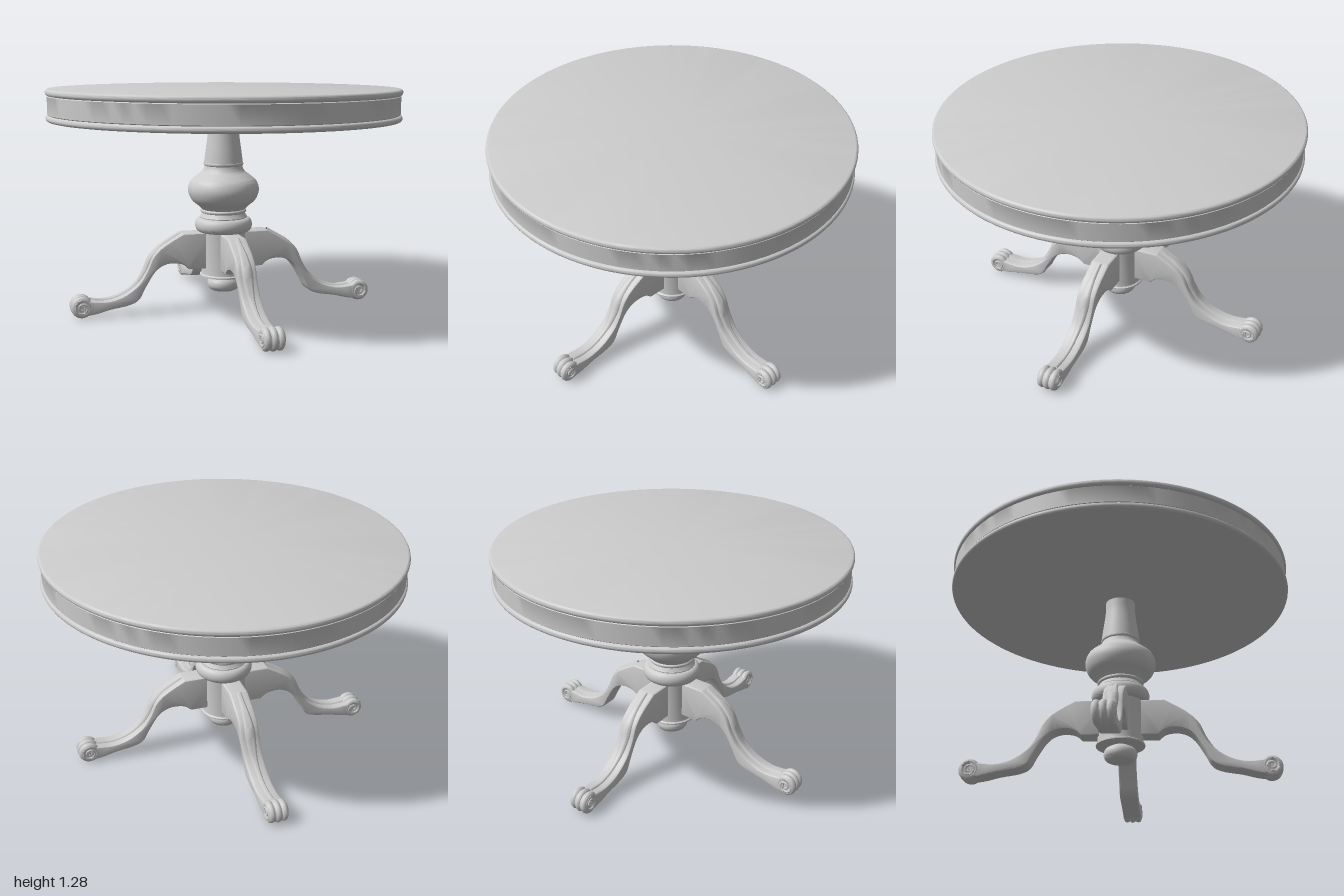
import * as THREE from 'three';
import { toCreasedNormals } from 'three/addons/utils/BufferGeometryUtils.js';

const material = new THREE.MeshStandardMaterial({ color: 0xcccccc, side: THREE.DoubleSide });
const vecs = (pts) => pts.map(([x, y]) => new THREE.Vector2(x, y));

function part(name, geometry, crease = 0.6) {
  const mesh = new THREE.Mesh(toCreasedNormals(geometry, crease), material);
  mesh.name = name;
  return mesh;
}

const lathe = (name, pts, segments) => part(name, new THREE.LatheGeometry(vecs(pts), segments));

// Half-round moulding profile from y0 up to y1, bulging from r to r + bulge
function bead(r, y0, y1, bulge, steps = 8) {
  const pts = [];
  for (let i = 0; i <= steps; i++) {
    const a = -Math.PI / 2 + (Math.PI * i) / steps;
    pts.push([r + bulge * Math.cos(a), (y0 + y1) / 2 + ((y1 - y0) / 2) * Math.sin(a)]);
  }
  return pts;
}

// Smooth profile through a few points
const smooth = (pts, n) => new THREE.SplineCurve(vecs(pts)).getPoints(n).map((p) => [p.x, p.y]);

// Leg outline in its radial plane: x = distance from the column, y = height
const LEG_TOP = [[0.255, 0.46], [0.30, 0.435], [0.375, 0.39], [0.43, 0.335], [0.47, 0.25],
  [0.52, 0.178], [0.605, 0.118], [0.70, 0.092], [0.79, 0.098], [0.84, 0.105]];
const LEG_BOTTOM = [[0.83, 0.012], [0.76, 0.022], [0.68, 0.042], [0.575, 0.06], [0.515, 0.09],
  [0.475, 0.16], [0.415, 0.25], [0.345, 0.288], [0.265, 0.283], [0.22, 0.25]];

function createLeg() {
  const leg = new THREE.Group();

  const shape = new THREE.Shape(vecs([[0.08, 0.25], [0.08, 0.46], ...smooth(LEG_TOP, 40), ...smooth(LEG_BOTTOM, 40)]));
  const body = new THREE.ExtrudeGeometry(shape, {
    depth: 0.086, bevelThickness: 0.012, bevelSize: 0.01, bevelOffset: -0.01, bevelSegments: 3,
  });
  body.translate(0, 0, -0.043);
  leg.add(part('legBody', body, 0.5));

  // Raised rib on the outer face, swelling at the knee
  const path = new THREE.CatmullRomCurve3(LEG_TOP.slice(0, 9).map(([x, y]) => new THREE.Vector3(x, y - 0.012, 0)));
  const rib = new THREE.TubeGeometry(path, 48, 0.022, 10);
  const p = rib.attributes.position;
  for (let i = 0; i < p.count; i++) {
    const t = Math.floor(i / 11) / 48;
    p.setZ(i, p.getZ(i) * (0.75 + 0.75 * Math.exp(-(((t - 0.35) / 0.2) ** 2))));
  }
  leg.add(part('legRib', rib, 1.2));

  // Scrolled foot: a rounded roll with three lobes and a coil on each side
  const roll = new THREE.CylinderGeometry(0.054, 0.054, 0.1, 28).rotateX(Math.PI / 2);
  roll.translate(0.842, 0.062, 0);
  leg.add(part('footRoll', roll));
  for (const [z, r] of [[-0.036, 0.042], [0, 0.044], [0.036, 0.042]]) {
    const lobe = new THREE.TorusGeometry(r, 0.02, 10, 28);
    lobe.translate(0.842, 0.063, z);
    leg.add(part('footLobe', lobe, 1.2));
  }
  for (const side of [-1, 1]) {
    const coil = [];
    for (let i = 0; i <= 30; i++) {
      const a = Math.PI / 2 - (i / 30) * Math.PI * 3;
      const r = 0.045 - 0.034 * (i / 30);
      coil.push(new THREE.Vector3(0.842 + r * Math.cos(a), 0.062 + r * Math.sin(a), side * 0.052));
    }
    leg.add(part('footScroll', new THREE.TubeGeometry(new THREE.CatmullRomCurve3(coil), 60, 0.007, 6), 1.2));
  }
  return leg;
}

export function createModel() {
  const table = new THREE.Group();
  table.name = 'pedestalTable';

  // Round top with a beaded apron
  const top = lathe('tableTop', [
    [0, 1.104], ...bead(0.985, 1.104, 1.138, 0.015),
    [0.99, 1.142], [0.99, 1.24],
    ...bead(0.985, 1.244, 1.28, 0.015), [0, 1.28],
  ], 96);
  top.scale.z = 0.982;
  table.add(top);

  // Turned column: neck, vase, collar and drum
  table.add(lathe('columnNeck', [
    ...smooth([[0.105, 0.838], [0.113, 0.845], [0.113, 0.856]], 6),
    ...smooth([[0.111, 0.858], [0.103, 0.92], [0.092, 1.0], [0.087, 1.05], [0.086, 1.11]], 16),
  ], 40));
  table.add(lathe('columnVase', smooth([
    [0.122, 0.585], [0.145, 0.61], [0.185, 0.645], [0.204, 0.70], [0.19, 0.75],
    [0.155, 0.782], [0.125, 0.805], [0.112, 0.825], [0.106, 0.845],
  ], 36), 40));
  table.add(lathe('columnCollar', [
    [0, 0.458], ...bead(0.135, 0.458, 0.54, 0.03, 12), [0.136, 0.545],
    [0.126, 0.56], ...bead(0.122, 0.568, 0.59, 0.01), [0.1, 0.592],
  ], 40));
  table.add(lathe('columnDrum', [
    [0, 0.198], [0.138, 0.198], [0.138, 0.207], [0.13, 0.213], [0.128, 0.23], [0.128, 0.47],
  ], 40));

  // Bun finial under the drum
  table.add(lathe('finial', [
    [0, 0.118], [0.03, 0.118], [0.045, 0.11], ...bead(0.06, 0.11, 0.19, 0.034, 12), [0.05, 0.2],
  ], 32));

  // Four legs on the diagonals
  const legs = new THREE.Group();
  legs.name = 'legs';
  for (let i = 0; i < 4; i++) {
    const leg = createLeg();
    leg.name = 'leg';
    leg.rotation.y = Math.PI / 4 + (i * Math.PI) / 2;
    legs.add(leg);
  }
  legs.scale.set(1.01, 1, 0.955);
  table.add(legs);

  return table;
}
